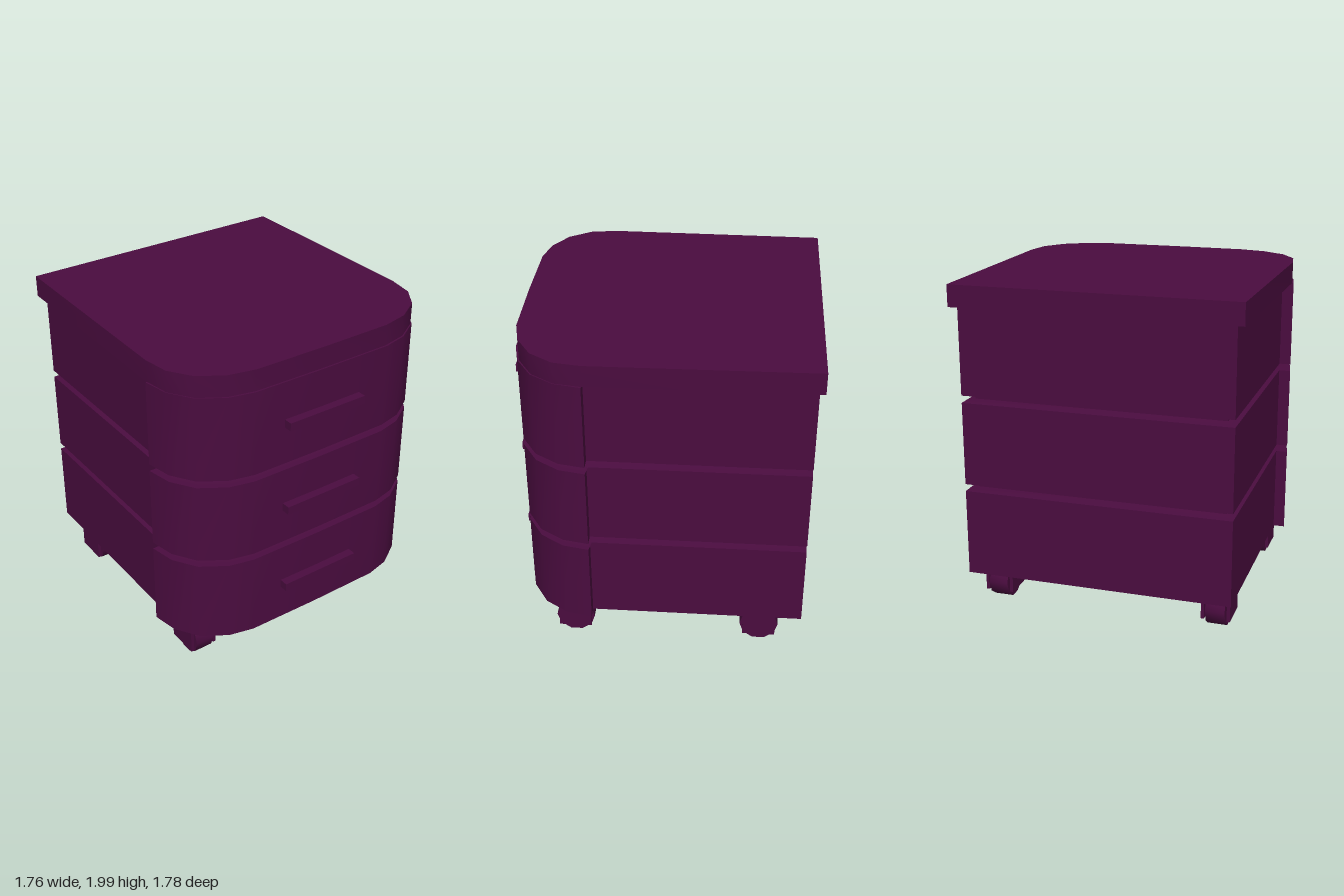
import * as THREE from 'three';
import { toCreasedNormals } from 'three/addons/utils/BufferGeometryUtils.js';

const material = new THREE.MeshStandardMaterial({ color: 0x4a0c3f, side: THREE.DoubleSide });

function addMesh(parent, name, geometry, x = 0, y = 0, z = 0) {
  const mesh = new THREE.Mesh(geometry, material);
  mesh.name = name;
  mesh.position.set(x, y, z);
  parent.add(mesh);
  return mesh;
}

// Full [x, z] outline from its +x half, which starts at the front centre
const mirrored = (half) => [...half, ...half.slice(1).reverse().map(([x, z]) => [-x, z])];

const outer = mirrored([[0, 0.845], [0.46, 0.84], [0.61, 0.805], [0.76, 0.71], [0.85, 0.57],
  [0.88, 0.415], [0.81, 0.415], [0.81, -0.86]]);
const rim = mirrored([[0, 0.795], [0.43, 0.79], [0.57, 0.755], [0.71, 0.67], [0.79, 0.55],
  [0.81, 0.415], [0.81, 0.405], [0.81, -0.86]]);
const inner = mirrored([[0, 0.72], [0.4, 0.72], [0.54, 0.69], [0.66, 0.61], [0.73, 0.51],
  [0.755, 0.4], [0.755, 0.39], [0.755, -0.79]]);
const slab = [[0, 0.835], [0.45, 0.83], [0.61, 0.795], [0.755, 0.705], [0.845, 0.57],
  [0.87, 0.41], [0.855, -0.89]];

// Skin over closed outlines stacked at rising heights
function loft(rings) {
  const positions = [];
  const index = [];
  const n = rings[0][0].length;
  rings.forEach(([outline, y], j) => outline.forEach(([x, z], i) => {
    positions.push(x, y, z);
    if (j === rings.length - 1) return;
    const a = j * n + i;
    const b = j * n + (i + 1) % n;
    index.push(a, b, b + n, a, b + n, a + n);
  }));
  const geometry = new THREE.BufferGeometry();
  geometry.setAttribute('position', new THREE.Float32BufferAttribute(positions, 3));
  geometry.setIndex(index);
  return toCreasedNormals(geometry, 0.6);
}

function createCaster() {
  const caster = new THREE.Group();
  caster.name = 'caster';
  const wheel = new THREE.CylinderGeometry(0.118, 0.118, 0.118, 10).rotateZ(Math.PI / 2);
  addMesh(caster, 'wheel', toCreasedNormals(wheel, 0.8), 0, 0.118, 0);
  // Fork: two cheeks joined by a bridge
  const cheek = new THREE.BoxGeometry(0.02, 0.18, 0.2);
  for (const side of [-1, 1]) addMesh(caster, 'forkCheek', cheek, side * 0.078, 0.15, 0);
  addMesh(caster, 'forkBridge', new THREE.BoxGeometry(0.176, 0.015, 0.2), 0, 0.243, 0);
  return caster;
}

export function createModel() {
  const model = new THREE.Group();
  model.name = 'drawerCabinet';

  // Body shell, open underneath, with a bevelled groove between drawers
  const rings = [[outer, 0.235]];
  for (const y of [0.78, 1.325]) {
    rings.push([outer, y - 0.022], [rim, y - 0.022], [inner, y - 0.01],
      [inner, y + 0.01], [rim, y + 0.022], [outer, y + 0.022]);
  }
  rings.push([outer, 1.87], [rim, 1.87]);
  addMesh(model, 'drawerBody', loft(rings));

  // Top slab
  const shape = new THREE.Shape(mirrored(slab).map(([x, z]) => new THREE.Vector2(x, -z)));
  const top = new THREE.ExtrudeGeometry(shape, { depth: 0.13, bevelEnabled: false });
  top.rotateX(-Math.PI / 2);
  addMesh(model, 'topSlab', toCreasedNormals(top, 0.6), 0, 1.87, 0);

  // Drawer handles
  const handle = new THREE.BoxGeometry(0.525, 0.05, 0.06);
  for (const y of [0.493, 1.052, 1.61]) addMesh(model, 'handle', handle, 0, y, 0.865);

  // Casters
  for (const x of [-0.685, 0.685]) {
    for (const z of [0.535, -0.605]) {
      const caster = createCaster();
      caster.position.set(x, 0, z);
      model.add(caster);
    }
  }
  return model;
}
